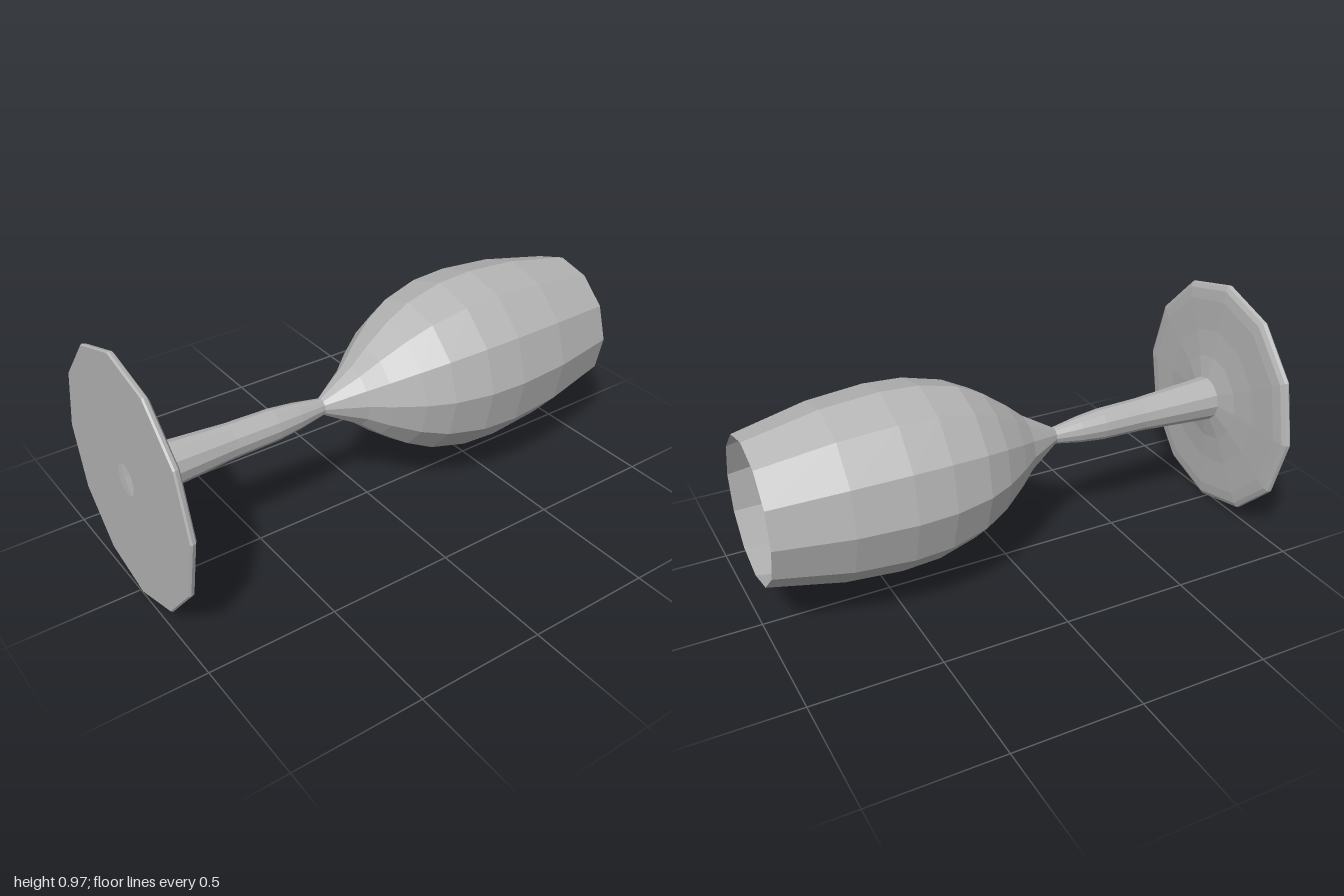
import * as THREE from 'three';

// Stemmed goblet lying on its side along x, turned with twelve sides
export function createModel() {
  const group = new THREE.Group();
  const glass = new THREE.MeshStandardMaterial({ color: 0xb4b4b4 });
  glass.name = 'greyGlass';
  glass.flatShading = true;
  glass.side = THREE.DoubleSide;

  // Each profile is a list of [position along x, radius]
  const turned = (name, profile) => {
    const points = profile.map(([x, r]) => new THREE.Vector2(r, x));
    const mesh = new THREE.Mesh(new THREE.LatheGeometry(points, 12, -0.042), glass);
    mesh.name = name;
    mesh.rotation.z = -Math.PI / 2;
    mesh.scale.z = 0.953; // slightly oval
    mesh.position.y = 0.488;
    group.add(mesh);
  };

  // Foot disc with a small open hole in its underside
  turned('foot', [
    [-1, 0.062], [-1, 0.482], [-0.993, 0.487], [-0.98, 0.483], [-0.97, 0.465],
    [-0.964, 0.42], [-0.96, 0.29], [-0.95, 0.18], [-0.932, 0.09],
  ]);

  // Hollow stem, narrowing towards the bowl
  turned('stem', [
    [-0.932, 0.09], [-0.8, 0.081], [-0.6, 0.067], [-0.42, 0.063],
    [-0.32, 0.052], [-0.21, 0.033],
  ]);

  // Thin open bowl
  turned('bowl', [
    [-0.21, 0.033], [-0.07, 0.12], [0, 0.181], [0.1, 0.255], [0.2, 0.307],
    [0.35, 0.345], [0.5, 0.353], [0.72, 0.335], [1, 0.276],
  ]);

  return group;
}
